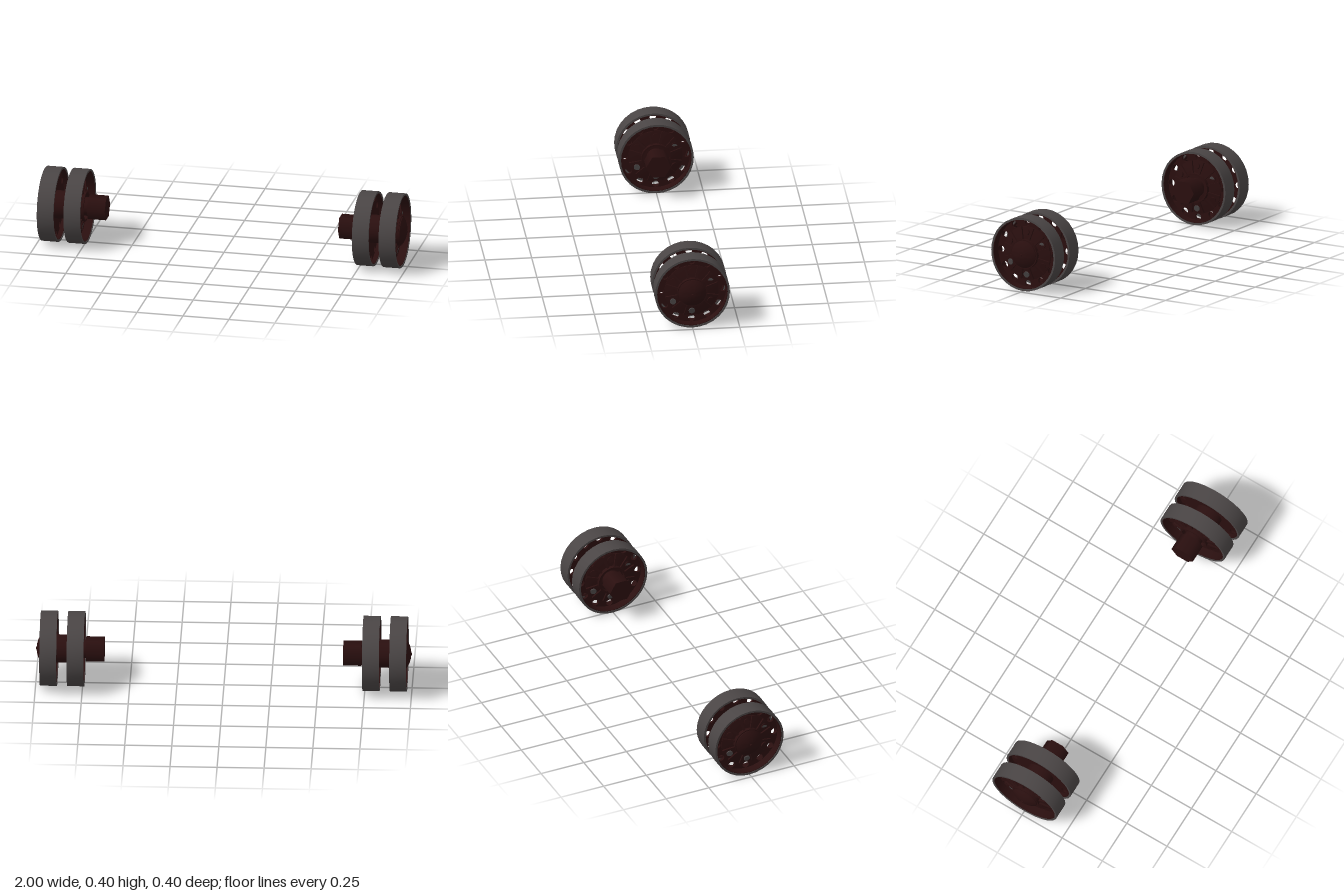
import * as THREE from 'three';
import { toCreasedNormals } from 'three/addons/utils/BufferGeometryUtils.js';

const rubber = new THREE.MeshStandardMaterial({ color: 0x4a4545 });
rubber.name = 'grey rubber';
const paint = new THREE.MeshStandardMaterial({ color: 0x2a0f0f });
paint.name = 'dark red brown';

function add(parent, name, geometry, material, x = 0, y = 0, z = 0) {
  const mesh = new THREE.Mesh(geometry, material);
  mesh.name = name;
  mesh.position.set(x, y, z);
  parent.add(mesh);
  return mesh;
}

// Solid turned about the local z axis from [radius, z] points
function turned(points, sides = 32) {
  const g = new THREE.LatheGeometry(points.map(([r, z]) => new THREE.Vector2(r, z)), sides);
  return toCreasedNormals(g.rotateX(Math.PI / 2), 0.5);
}

// Flat plate with round holes given as [x, y, radius]
function plate(radius, holes, depth) {
  const shape = new THREE.Shape().absarc(0, 0, radius, 0, Math.PI * 2, false);
  for (const [x, y, r] of holes) {
    shape.holes.push(new THREE.Path().absarc(x, y, r, 0, Math.PI * 2, true));
  }
  const g = new THREE.ExtrudeGeometry(shape, { depth, bevelEnabled: false, curveSegments: 16 });
  return toCreasedNormals(g, 0.5);
}

// One wheel: z = 0 faces the gap, z = 0.09 is its visible face
function makeWheel(name) {
  const wheel = new THREE.Group();
  wheel.name = name;
  add(wheel, 'tyre', plate(0.2, [[0, 0, 0.189]], 0.09), rubber);
  add(wheel, 'rim', plate(0.189, [[0, 0, 0.1855]], 0.084), paint, 0, 0, 0.003);

  // Disc pierced by twelve round holes
  const holes = [];
  for (let i = 0; i < 12; i++) {
    const a = i * Math.PI / 6;
    holes.push([0.166 * Math.cos(a), 0.166 * Math.sin(a), 0.0185]);
  }
  add(wheel, 'disc', plate(0.1875, holes, 0.014), paint, 0, 0, 0.028);

  // Raised cone around the hub
  add(wheel, 'cone', turned([[0, 0.03], [0.145, 0.03], [0.145, 0.046], [0.08, 0.062], [0, 0.062]]), paint);
  add(wheel, 'hubRing', plate(0.08, [[0, 0, 0.07]], 0.024), paint, 0, 0, 0.058);

  // Radial ribs between the bolts
  for (let i = 0; i < 12; i++) {
    const spoke = new THREE.Group();
    spoke.name = 'spoke';
    spoke.rotation.z = (i + 0.5) * Math.PI / 6;
    const rib = add(spoke, 'rib', new THREE.BoxGeometry(0.07, 0.012, 0.012), paint, 0.11, 0, 0.058);
    rib.rotation.y = 0.22;
    wheel.add(spoke);
  }

  // Six round bolt heads
  for (let i = 0; i < 6; i++) {
    const a = Math.PI / 6 + i * Math.PI / 3;
    const head = new THREE.CylinderGeometry(0.0165, 0.0165, 0.014, 20).rotateX(Math.PI / 2);
    const material = i === 3 || i === 4 ? rubber : paint;
    const bolt = add(wheel, 'bolt', head, material, 0.115 * Math.cos(a), 0.115 * Math.sin(a), 0.053);
    bolt.rotation.set(-0.24 * Math.sin(a), 0.24 * Math.cos(a), 0);
  }
  // Bolt head with only its lower part bare
  const half = new THREE.CircleGeometry(0.015, 16, Math.PI * 0.05, Math.PI * 0.9);
  add(wheel, 'bareBoltPatch', half, rubber, 0.0996, 0.0575, 0.0645);
  return wheel;
}

// Pair of wheels on one axle, pointing outward along local z
function makeRoller(name) {
  const roller = new THREE.Group();
  roller.name = name;
  const outer = makeWheel('outerWheel');
  outer.position.z = 0.885;
  const inner = makeWheel('innerWheel');
  inner.position.z = 0.83;
  inner.rotation.y = Math.PI;
  roller.add(outer, inner);

  // Drum joining the two wheels
  add(roller, 'hubDrum', turned([[0, 0.79], [0.075, 0.79], [0.075, 0.925], [0, 0.925]]), paint);
  // Domed cap with a small tip
  add(roller, 'hubCap', turned([
    [0, 0.94], [0.074, 0.94], [0.074, 0.972], [0.062, 0.98], [0.044, 0.988],
    [0.022, 0.994], [0.007, 0.996], [0.005, 1], [0, 1],
  ]), paint);
  // Axle neck and hexagonal end
  add(roller, 'axleNeck', turned([[0, 0.72], [0.05, 0.72], [0.05, 0.8], [0, 0.8]], 24), paint);
  const hex = new THREE.CylinderGeometry(0.067, 0.067, 0.098, 6, 1).rotateY(Math.PI / 2);
  hex.rotateX(Math.PI / 2);
  const end = add(roller, 'hexagonalAxleEnd', hex, paint, 0, 0, 0.684);
  // Corners lie front and back, flats on top and below
  end.rotation.z = 0;
  return roller;
}

export function createModel() {
  const model = new THREE.Group();
  model.name = 'rollerPair';
  for (const side of [1, -1]) {
    const roller = makeRoller(side > 0 ? 'leftRoller' : 'rightRoller');
    roller.rotation.y = side * Math.PI / 2;
    roller.position.y = 0.2;
    model.add(roller);
  }
  return model;
}
